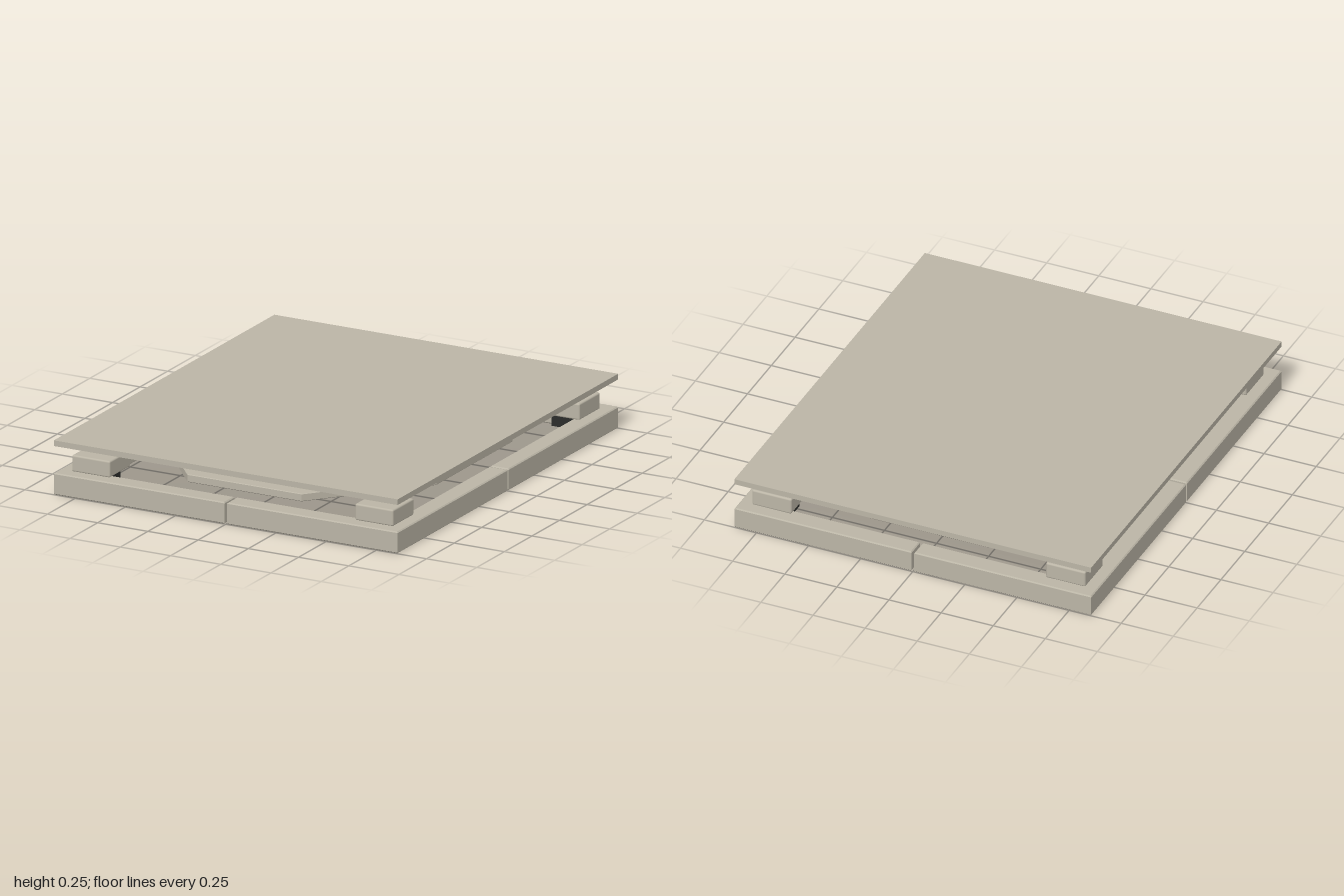
import * as THREE from 'three';
import { RoundedBoxGeometry } from 'three/addons/geometries/RoundedBoxGeometry.js';

const X = 0.856, Z = 1; // outer half sizes

const stone = new THREE.MeshStandardMaterial({ name: 'warm grey', color: 0xbbb5a6 });
const dark = new THREE.MeshStandardMaterial({ name: 'charcoal', color: 0x2b2d2b });
const brass = new THREE.MeshStandardMaterial({ name: 'brass', color: 0x94702f });

// Elongated eight-sided outline, proportions fixed by its half width
function octagon(w, PathType) {
  const z = w * 1.203, fx = w * 0.412, fz = w * 0.5;
  const pts = [[fx, z], [-fx, z], [-w, fz], [-w, -fz], [-fx, -z], [fx, -z], [w, -fz], [w, fz]];
  return new PathType(pts.map(([a, b]) => new THREE.Vector2(a, b)));
}

// Extrudes a plan shape upwards from y0 to y1
function slab(shape, y0, y1, bevel = 0) {
  const g = new THREE.ExtrudeGeometry(shape, {
    depth: y1 - y0 - 2 * bevel, bevelEnabled: bevel > 0,
    bevelSize: bevel, bevelThickness: bevel, bevelOffset: -bevel, bevelSegments: 1,
  });
  g.rotateX(-Math.PI / 2);
  g.translate(0, y0 + bevel, 0);
  return g;
}

export function createModel() {
  const model = new THREE.Group();
  const add = (name, geometry, material, x = 0, y = 0, z = 0) => {
    const mesh = new THREE.Mesh(geometry, material);
    mesh.name = name;
    mesh.position.set(x, y, z);
    model.add(mesh);
    return mesh;
  };

  // Top plate
  add('topPlate', new THREE.BoxGeometry(2 * X, 0.026, 2 * Z), stone, 0, 0.237, 0);

  // Stepped octagonal rings: outer half width, inner half width, bottom, top
  const rings = [
    ['lowerRing', 0.69, 0.585, 0.1, 0.136, stone],
    ['middleRing', 0.61, 0.53, 0.134, 0.171, stone],
    ['gasketRing', 0.558, 0.51, 0.17, 0.186, dark],
    ['brassRing', 0.54, 0.505, 0.174, 0.181, brass],
    ['upperRing', 0.535, 0.485, 0.185, 0.225, stone],
  ];
  for (const [name, outer, inner, y0, y1, material] of rings) {
    const shape = octagon(outer, THREE.Shape);
    shape.holes.push(octagon(inner, THREE.Path));
    add(name, slab(shape, y0, y1, material === stone ? 0.003 : 0), material);
  }

  // Base frame: four L-shaped corners separated by narrow seams
  const gap = 0.006, beam = 0.09;
  for (const sx of [-1, 1]) {
    for (const sz of [-1, 1]) {
      const side = sx > 0 ? 'left' : 'right';
      const end = sz > 0 ? 'Front' : 'Back';
      // Plan y points to -z once laid flat
      const outline = [[gap, Z], [X, Z], [X, gap], [X - beam, gap], [X - beam, Z - beam], [gap, Z - beam]];
      const shape = new THREE.Shape(outline.map(([a, b]) => new THREE.Vector2(a * sx, -b * sz)));
      add(side + end + 'FrameCorner', slab(shape, 0, 0.1, 0.005), stone);

      // Corner block with its dark socket and foot below
      const cx = sx * 0.705, cz = sz * 0.845;
      add(side + end + 'Block', new RoundedBoxGeometry(0.19, 0.076, 0.19, 2, 0.008), stone, cx, 0.136, cz);
      add(side + end + 'Socket', new THREE.BoxGeometry(0.125, 0.06, 0.125), dark, cx, 0.07, cz);
      add(side + end + 'Foot', new RoundedBoxGeometry(0.085, 0.03, 0.085, 1, 0.006), stone, cx, 0.035, cz);
    }
  }

  // Two rods on the underside, each held by a pair of small blocks
  for (const x of [-0.136, 0.136]) {
    add('undersideRod', new THREE.BoxGeometry(0.022, 0.016, 0.48), dark, x, 0.213, 0);
    for (const z of [-0.24, 0.24]) {
      add('rodHolder', new RoundedBoxGeometry(0.055, 0.03, 0.055, 1, 0.005), stone, x, 0.211, z);
    }
  }

  return model;
}
